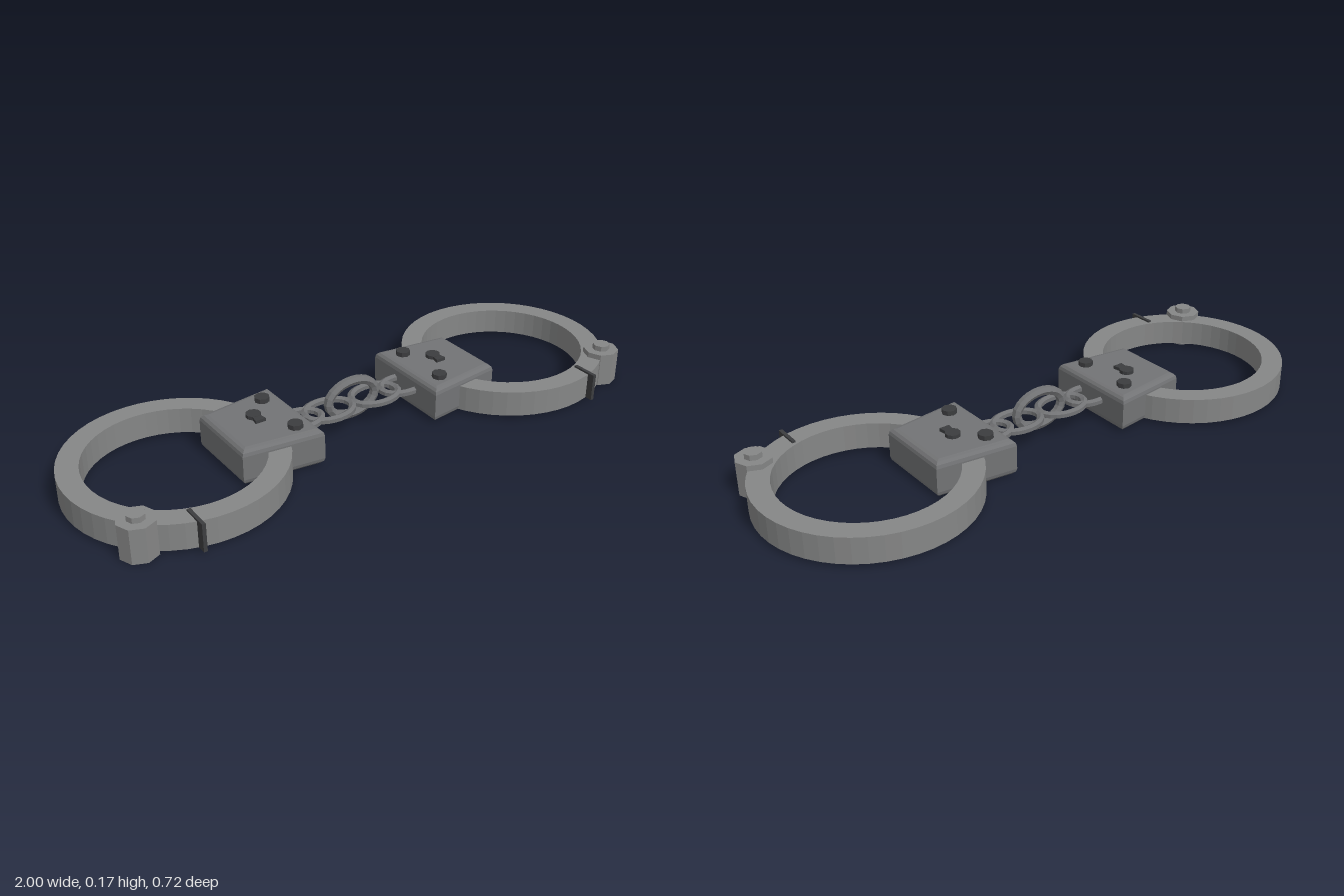
import * as THREE from 'three';

const mat = (name, color, flatShading = false) => {
  const m = new THREE.MeshStandardMaterial({ color, flatShading });
  m.name = name;
  return m;
};

export function createModel() {
  const steel = mat('steel', 0x858686, true);
  const lockSteel = mat('lock steel', 0x727375, true);
  const dark = mat('dark metal', 0x3c3d3f, true);
  const model = new THREE.Group();
  const zc = -0.006;

  const add = (parent, name, geo, material, x = 0, y = 0, z = 0) => {
    const mesh = new THREE.Mesh(geo, material);
    mesh.name = name;
    mesh.position.set(x, y, z);
    parent.add(mesh);
    return mesh;
  };

  // Extrudes a plan outline (x, z) upwards from y = 0
  const slab = (shape, depth, options = {}) => {
    const geo = new THREE.ExtrudeGeometry(shape, { depth, bevelEnabled: false, curveSegments: 24, ...options });
    return geo.rotateX(-Math.PI / 2);
  };
  const outline = (points) => new THREE.Shape(points.map(([x, z]) => new THREE.Vector2(x, -z)));

  // Oval chain link lying flat in the xz plane
  const link = (a, b, r) => {
    const pts = [];
    for (let i = 0; i < 20; i++) {
      const t = (i / 20) * Math.PI * 2;
      pts.push(new THREE.Vector3(a * Math.cos(t), 0, b * Math.sin(t)));
    }
    return new THREE.TubeGeometry(new THREE.CatmullRomCurve3(pts, true), 24, r, 6, true);
  };

  for (const s of [-1, 1]) {
    const cuff = new THREE.Group();
    cuff.name = s > 0 ? 'leftCuff' : 'rightCuff';
    model.add(cuff);

    // Wrist ring
    const ring = new THREE.Shape().absarc(0, 0, 0.353, 0, Math.PI * 2);
    ring.holes.push(new THREE.Path().absarc(0, 0, 0.282, 0, Math.PI * 2, true));
    add(cuff, 'ring', slab(ring, 0.088), steel, s * 0.647, 0.01, zc);

    // Hinge barrel with pin head
    add(cuff, 'hinge', new THREE.CylinderGeometry(0.06, 0.06, 0.116, 8), steel, s * 0.891, 0.058, 0.243);
    add(cuff, 'hingePin', new THREE.CylinderGeometry(0.029, 0.029, 0.02, 8), steel, s * 0.891, 0.124, 0.243);

    // Seam plate across the ring
    add(cuff, 'seamPlate', new THREE.BoxGeometry(0.012, 0.094, 0.09), dark, s * 0.745, 0.057, 0.315);

    // Bevelled trapezoid lock case
    const b = 0.022;
    const lock = outline([
      [s * (0.216 + b), -0.168 + b], [s * (0.49 - b), -0.138 + b],
      [s * (0.49 - b), 0.138 - b], [s * (0.216 + b), 0.168 - b],
    ]);
    add(cuff, 'lockCase', slab(lock, 0.125 - 2 * b, {
      bevelEnabled: true, bevelSize: b, bevelThickness: b, bevelSegments: 3,
    }), lockSteel, 0, b, zc);

    // Rivets
    for (const z of [-0.103, 0.097]) {
      add(cuff, 'rivet', new THREE.CylinderGeometry(0.025, 0.025, 0.03, 8), dark, s * 0.283, 0.126, z);
    }

    // Raised keyhole: round head and flared slot
    add(cuff, 'keyholeHead', new THREE.CylinderGeometry(0.025, 0.025, 0.022, 10), dark, s * 0.357, 0.126, -0.032);
    const slot = outline([[-0.011, -0.03], [0.011, -0.03], [0.018, 0.014], [-0.018, 0.014]]);
    add(cuff, 'keyholeSlot', slab(slot, 0.021), dark, s * 0.357, 0.115, 0);

    // Loop fixed in the lock, and the flat link next to it
    add(cuff, 'lockLoop', link(0.08, 0.055, 0.013), lockSteel, s * 0.206, 0.073, zc);
    add(cuff, 'flatLink', link(0.086, 0.062, 0.013), lockSteel, s * 0.092, 0.073, zc);
  }

  // Upright middle link
  const middle = add(model, 'middleLink', link(0.092, 0.06, 0.016), lockSteel, 0, 0.092, zc);
  middle.rotation.x = Math.PI / 2;

  return model;
}
